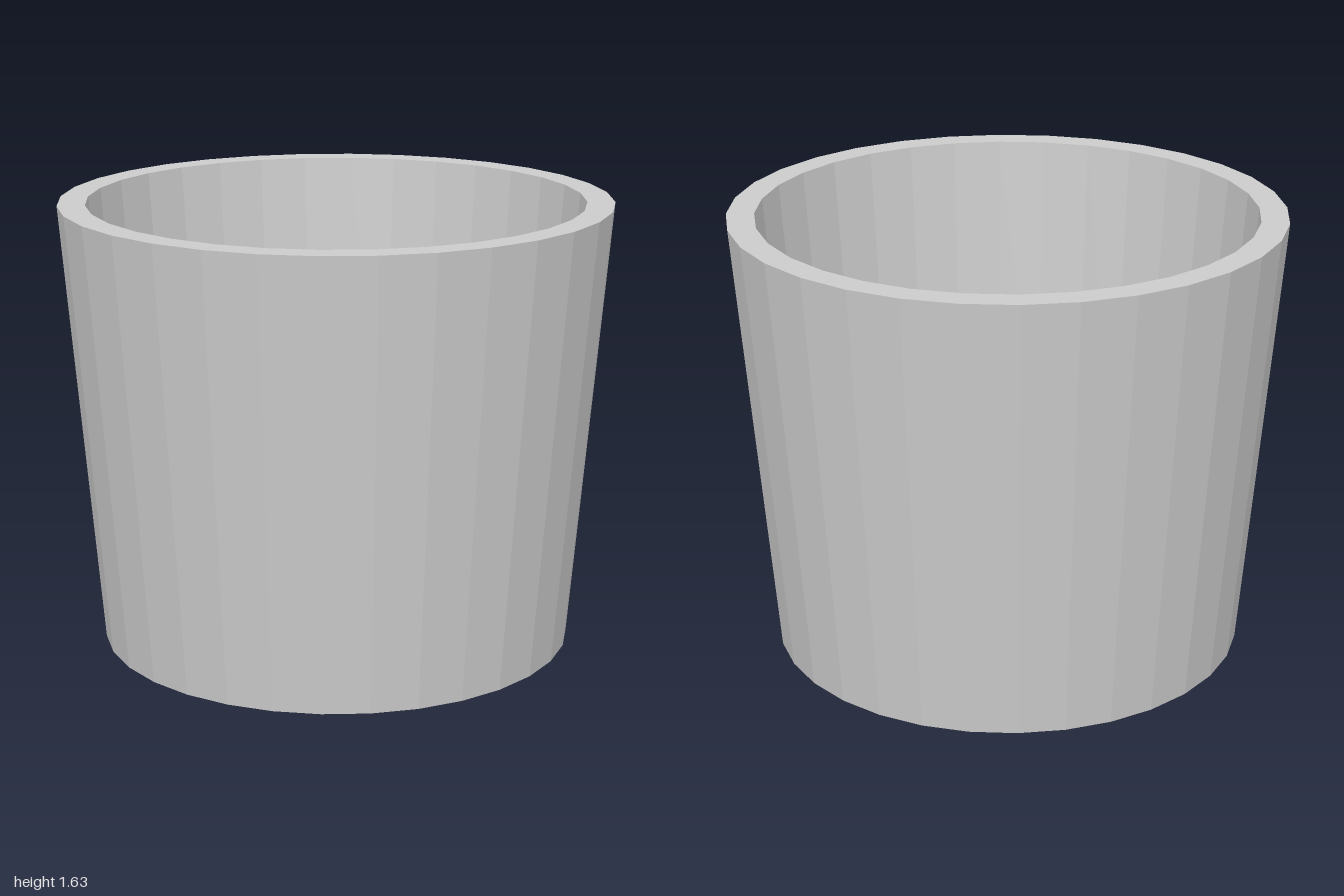
import * as THREE from 'three';

export function createModel() {
  const group = new THREE.Group();
  const material = new THREE.MeshStandardMaterial({ color: 0xcccccc, flatShading: true });

  // Tapered pot profile: underside, outer wall, flat rim, inner wall, floor
  const profile = [
    [0, 0], [0.866, 0], [1, 1.63], [0.9, 1.63], [0.8, 0.32], [0, 0.32],
  ].map(([r, y]) => new THREE.Vector2(r, y));

  const pot = new THREE.Mesh(new THREE.LatheGeometry(profile, 32), material);
  pot.name = 'pot';
  group.add(pot);
  return group;
}
